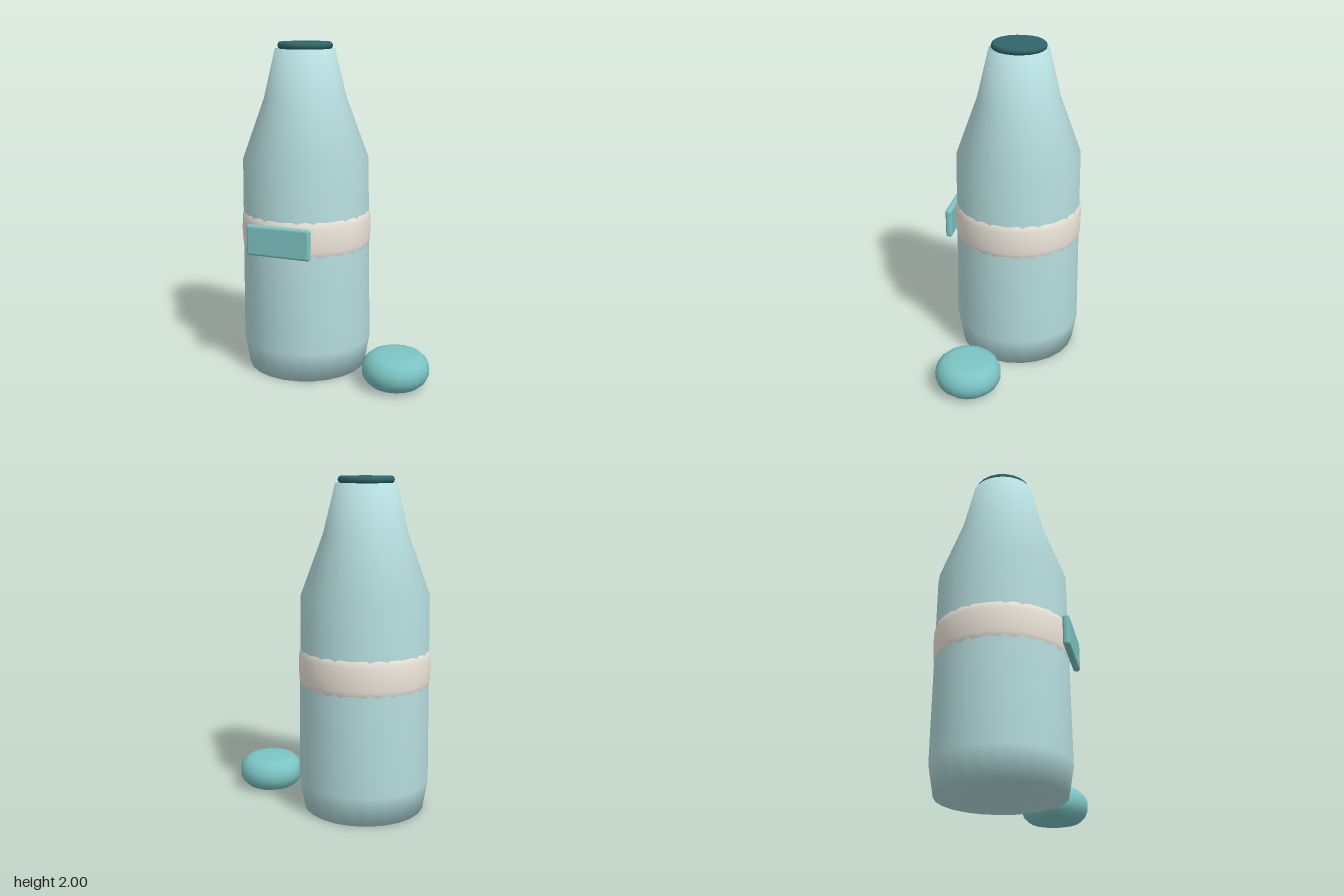
import * as THREE from 'three';
import { RoundedBoxGeometry } from 'three/addons/geometries/RoundedBoxGeometry.js';

const material = (color) => new THREE.MeshStandardMaterial({ color });

// Smooth turned part from [radius, height] points, bottom to top
function turned(name, points, sides, color) {
  const profile = points.map(([r, y]) => new THREE.Vector2(r, y));
  const mesh = new THREE.Mesh(new THREE.LatheGeometry(profile, sides), material(color));
  mesh.name = name;
  return mesh;
}

export function createModel() {
  const model = new THREE.Group();
  model.name = 'bottleWithStone';

  const bottle = new THREE.Group();
  bottle.name = 'bottle';
  bottle.position.set(-0.23, 0, -0.015);
  model.add(bottle);

  // Closed body: narrow foot, slightly tapering sides, sloping shoulder and neck
  bottle.add(turned('body', [
    [0, 0], [0.365, 0], [0.396, 0.18], [0.382, 1.31], [0.25, 1.67], [0.18, 1.96], [0, 1.96],
  ], 24, 0xb5dcdd));

  // Bulging band whose edges sink into the body
  const band = turned('band', [
    [0.37, 0.75], [0.386, 0.775], [0.394, 0.81], [0.397, 0.88], [0.394, 0.95], [0.386, 0.985], [0.37, 1.01],
  ], 32, 0xede6da);
  band.material.side = THREE.DoubleSide;
  bottle.add(band);

  // Flat stopper with a rounded rim
  bottle.add(turned('stopper', [
    [0, 1.958], [0.152, 1.958], [0.162, 1.966], [0.166, 1.979], [0.162, 1.992], [0.152, 2], [0, 2],
  ], 20, 0x2f666a));

  // Label plate on the front of the band
  const plate = new THREE.Mesh(new RoundedBoxGeometry(0.4, 0.184, 0.04, 3, 0.016), material(0x7cc4c4));
  plate.name = 'labelPlate';
  plate.position.set(-0.23, 0.872, 0.39);
  model.add(plate);

  // Rounded pebble beside the bottle
  const stone = turned('stone', [
    [0, 0.005], [0.11, 0.005], [0.152, 0.015], [0.185, 0.046], [0.201, 0.085],
    [0.201, 0.125], [0.185, 0.164], [0.152, 0.195], [0.11, 0.205], [0, 0.205],
  ], 18, 0x7cc4c4);
  stone.position.set(0.42, 0, 0.165);
  model.add(stone);

  return model;
}
